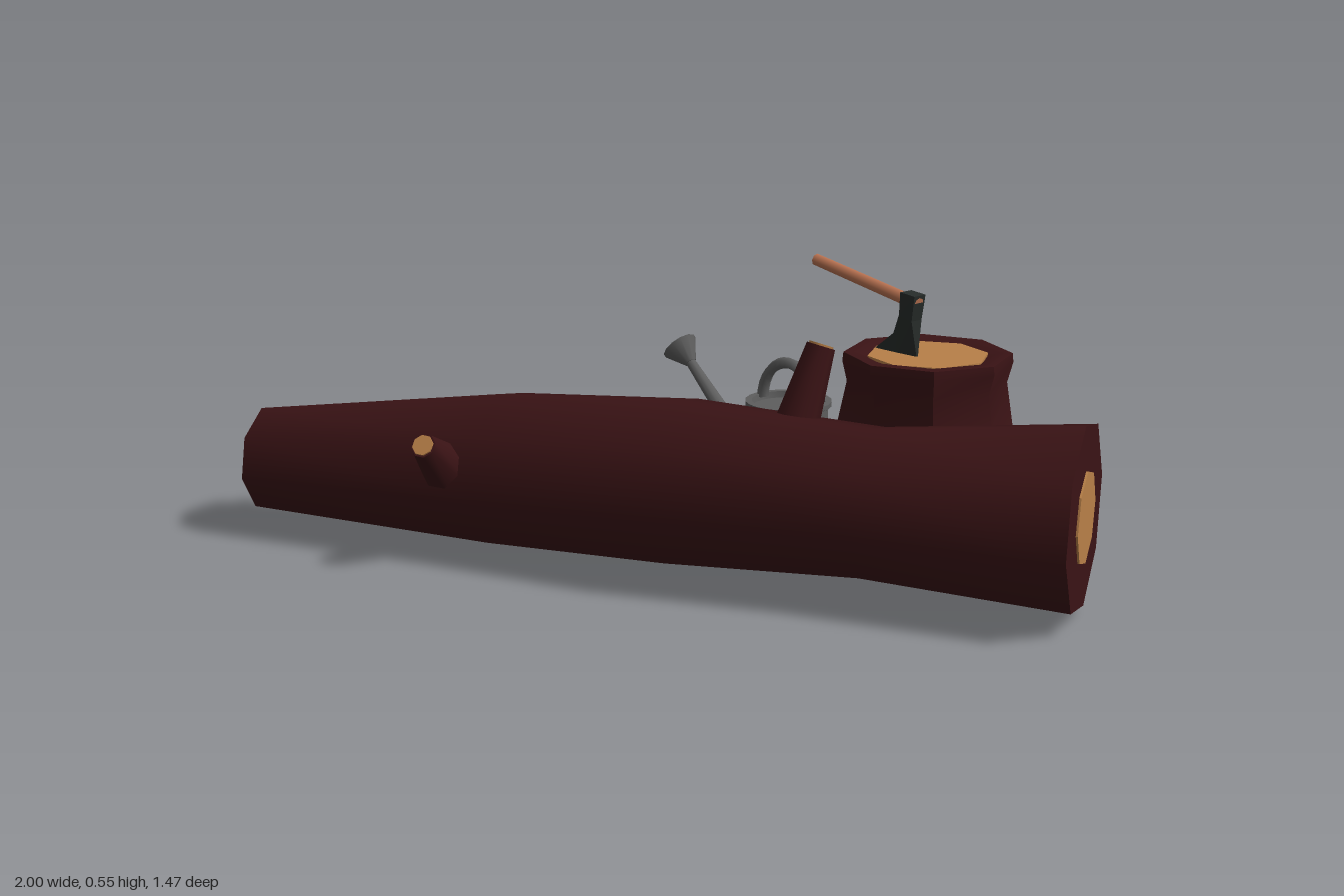
import * as THREE from 'three';
import { toCreasedNormals } from 'three/addons/utils/BufferGeometryUtils.js';

const V = (x, y, z) => new THREE.Vector3(x, y, z);
const mat = (color) => new THREE.MeshStandardMaterial({ color, side: THREE.DoubleSide });
const bark = mat(0x3a1315), wood = mat(0xb88048), handleWood = mat(0xba7352);
const iron = mat(0x272c2a), tin = mat(0x5e5e5e);

function add(parent, name, geometry, material) {
  const mesh = new THREE.Mesh(geometry, material);
  mesh.name = name;
  parent.add(mesh);
  return mesh;
}

function group(parent, name) {
  const g = new THREE.Group();
  g.name = name;
  parent.add(g);
  return g;
}

// Tapered round bar between two points
function rod(parent, name, a, b, r0, r1, material, sides = 8) {
  const dir = b.clone().sub(a);
  const geo = new THREE.CylinderGeometry(r1, r0, dir.length(), sides);
  const mesh = add(parent, name, geo, material);
  mesh.position.copy(a).add(b).multiplyScalar(0.5);
  mesh.quaternion.setFromUnitVectors(V(0, 1, 0), dir.normalize());
  return mesh;
}

// Ring of points round a centre; radius may be a function of the index
function ring(c, u, v, r, turn = 0, n = 8) {
  return Array.from({ length: n }, (_, j) => {
    const a = turn + (j / n) * Math.PI * 2;
    const rj = typeof r === 'function' ? r(j) : r;
    return c.clone().addScaledVector(u, Math.cos(a) * rj).addScaledVector(v, Math.sin(a) * rj);
  });
}

// Skin over successive rings, closed at both ends
function loft(rings, crease = 0.9) {
  const n = rings[0].length, pts = rings.flat(), index = [];
  for (let i = 0; i < rings.length - 1; i++) {
    for (let j = 0; j < n; j++) {
      const a = i * n + j, b = i * n + ((j + 1) % n);
      index.push(a, b, b + n, a, b + n, a + n);
    }
  }
  const last = (rings.length - 1) * n;
  for (let j = 1; j < n - 1; j++) {
    index.push(0, j + 1, j, last, last + j, last + j + 1);
  }
  const geo = new THREE.BufferGeometry().setFromPoints(pts);
  geo.setIndex(index);
  return toCreasedNormals(geo, crease);
}

function buildLog(root) {
  const log = group(root, 'fallenLog');
  const w = V(0.89, 0, -0.455).normalize(), v = V(0, 1, 0), u = v.clone().cross(w);
  // x, y, z, radius along the trunk
  const stations = [
    [-0.66, 0.15, 0.632, 0.115], [-0.175, 0.175, 0.36, 0.167], [0.2, 0.197, 0.205, 0.176],
    [0.555, 0.195, 0.03, 0.156], [0.915, 0.203, -0.17, 0.19],
  ];
  const rings = stations.map(([x, y, z, r]) => ring(V(x, y, z), u, v, r, 0.18));
  add(log, 'trunk', loft(rings), bark);
  // Bare wood at the sawn ends
  for (const [x, y, z, r, s] of [[-0.66, 0.15, 0.632, 0.066, -1], [0.915, 0.203, -0.17, 0.094, 1]]) {
    const c = V(x, y, z);
    const face = [c.clone().addScaledVector(w, -0.004), c.clone().addScaledVector(w, 0.004)];
    add(log, s < 0 ? 'narrowCutFace' : 'wideCutFace', loft(face.map((p) => ring(p, u, v, r, 0.1)), 0.5), wood);
  }
  // Cut branch stubs
  const stubs = [
    [V(-0.21, 0.17, 0.47), V(-0.142, 0.272, 0.592), 0.062, 0.026],
    [V(0.383, 0.3, 0.075), V(0.394, 0.476, 0.01), 0.047, 0.029],
  ];
  for (const [a, b, r0, r1] of stubs) {
    rod(log, 'branchStub', a, b, r0, r1, bark);
    const d = b.clone().sub(a).normalize().multiplyScalar(0.004);
    rod(log, 'branchCut', b, b.clone().add(d), r1 * 0.85, r1 * 0.85, wood);
  }
}

function buildStump(root) {
  const stump = group(root, 'stump');
  const u = V(0, 0, 1), v = V(1, 0, 0), cx = 0.262, cz = -0.467;
  const foot = [0.23, 0.29, 0.26, 0.265, 0.275, 0.265, 0.27, 0.28];
  // y, radius, share of the uneven foot
  const levels = [
    [0.03, 0.265, 1], [0.09, 0.222, 0.7], [0.2, 0.19, 0.4], [0.3, 0.174, 0.1],
    [0.345, 0.186, 0], [0.365, 0.184, 0], [0.365, 0.155, 0], [0.355, 0.135, 0],
  ];
  const rings = levels.map(([y, r, k]) =>
    ring(V(cx, y, cz), u, v, (j) => r + (foot[j] - 0.265) * k));
  add(stump, 'stumpBark', loft(rings, 0.7), bark);
  rod(stump, 'stumpCutFace', V(cx, 0.34, cz), V(cx, 0.361, cz), 0.134, 0.134, wood).rotation.y = 0.15;
  // Side root, wide at the stump and pointed outwards
  rod(stump, 'sideRoot', V(0.4, 0.1, -0.6), V(0.55, 0.05, -0.662), 0.06, 0.018, bark, 6);
}

function buildAxe(root) {
  const axe = group(root, 'axe');
  const z = -0.432;
  rod(axe, 'axeHandle', V(-0.045, 0.533, z), V(0.262, 0.476, z), 0.014, 0.015, handleWood);
  const outline = [
    [0.224, 0.5], [0.265, 0.496], [0.257, 0.44], [0.262, 0.355], [0.2, 0.348],
    [0.142, 0.362], [0.2, 0.405], [0.222, 0.45],
  ].map(([x, y]) => new THREE.Vector2(x, y));
  const geo = new THREE.ExtrudeGeometry(new THREE.Shape(outline), { depth: 1, bevelEnabled: false });
  // Thin the head down to its cutting edge
  const p = geo.attributes.position;
  for (let i = 0; i < p.count; i++) {
    const t = THREE.MathUtils.clamp((p.getY(i) - 0.35) / 0.1, 0.08, 1);
    p.setZ(i, z + (p.getZ(i) - 0.5) * 0.036 * t);
  }
  geo.computeVertexNormals();
  add(axe, 'axeHead', geo, iron);
}

function buildShovel(root) {
  const shovel = group(root, 'shovel');
  rod(shovel, 'shovelHandle', V(-1, 0.028, -0.195), V(-0.2, 0.03, -0.198), 0.014, 0.014, handleWood);
  rod(shovel, 'shovelSocket', V(-0.27, 0.03, -0.198), V(-0.13, 0.028, -0.196), 0.019, 0.024, iron);
  // Dished blade
  const geo = new THREE.BoxGeometry(0.25, 0.01, 0.21, 6, 1, 8);
  const p = geo.attributes.position;
  for (let i = 0; i < p.count; i++) {
    const k = p.getZ(i) / 0.105;
    p.setY(i, p.getY(i) + 0.005 + 0.05 * k * k);
    if (p.getX(i) > 0.08) p.setX(i, p.getX(i) - 0.03 * k * k);
  }
  geo.computeVertexNormals();
  const blade = add(shovel, 'shovelBlade', toCreasedNormals(geo, 0.6), iron);
  blade.position.set(-0.04, 0, -0.191);
  blade.rotation.y = -0.1;
}

function buildRake(root) {
  const rake = group(root, 'rake');
  rod(rake, 'rakeHandle', V(-0.88, 0.047, -0.11), V(-0.1, 0.105, -0.179), 0.014, 0.014, handleWood);
  rod(rake, 'rakeSocket', V(-0.2, 0.098, -0.17), V(0.06, 0.1, -0.193), 0.018, 0.022, iron);
  const head = group(rake, 'rakeHead');
  head.position.set(0.073, 0.095, -0.195);
  head.rotation.y = 0.1;
  add(head, 'rakeBar', new THREE.BoxGeometry(0.085, 0.03, 0.43), iron);
  // Row of teeth
  for (let i = 0; i < 7; i++) {
    const zt = -0.2 + (i / 6) * 0.4;
    rod(head, 'rakeTooth', V(0.025, 0, zt), V(0.035, -0.07, zt), 0.012, 0.006, iron, 5);
  }
}

function buildCan(root) {
  const can = group(root, 'wateringCan');
  can.position.set(0.105, 0, -0.195);
  // Body with raised bands and a sunken lid
  const profile = [
    [0, 0.025], [0.09, 0.025], [0.093, 0.04], [0.086, 0.045], [0.086, 0.19], [0.092, 0.195],
    [0.092, 0.205], [0.086, 0.21], [0.086, 0.262], [0.094, 0.266], [0.094, 0.276],
    [0.08, 0.276], [0.078, 0.262], [0, 0.262],
  ].map(([r, y]) => new THREE.Vector2(r, y));
  add(can, 'canBody', toCreasedNormals(new THREE.LatheGeometry(profile, 20), 0.6), tin);
  // Carrying arch over the top
  const arch = add(can, 'topHandle', new THREE.TorusGeometry(0.078, 0.011, 6, 16, Math.PI), tin);
  arch.position.y = 0.27;
  arch.scale.set(1, 1.12, 1.3);
  // Rear grip
  const grip = new THREE.CatmullRomCurve3([
    V(0.08, 0.235, 0), V(0.135, 0.235, 0), V(0.15, 0.19, 0), V(0.13, 0.13, 0), V(0.08, 0.09, 0),
  ]);
  add(can, 'rearHandle', new THREE.TubeGeometry(grip, 14, 0.007, 6), tin);
  // Spout and flared rose
  rod(can, 'spout', V(-0.06, 0.08, 0), V(-0.315, 0.31, 0), 0.024, 0.011, tin, 10);
  rod(can, 'rose', V(-0.31, 0.305, 0), V(-0.347, 0.337, 0), 0.013, 0.042, tin, 12);
}

export function createModel() {
  const root = new THREE.Group();
  root.name = 'gardenScene';
  buildLog(root);
  buildStump(root);
  buildAxe(root);
  buildShovel(root);
  buildRake(root);
  buildCan(root);
  return root;
}
